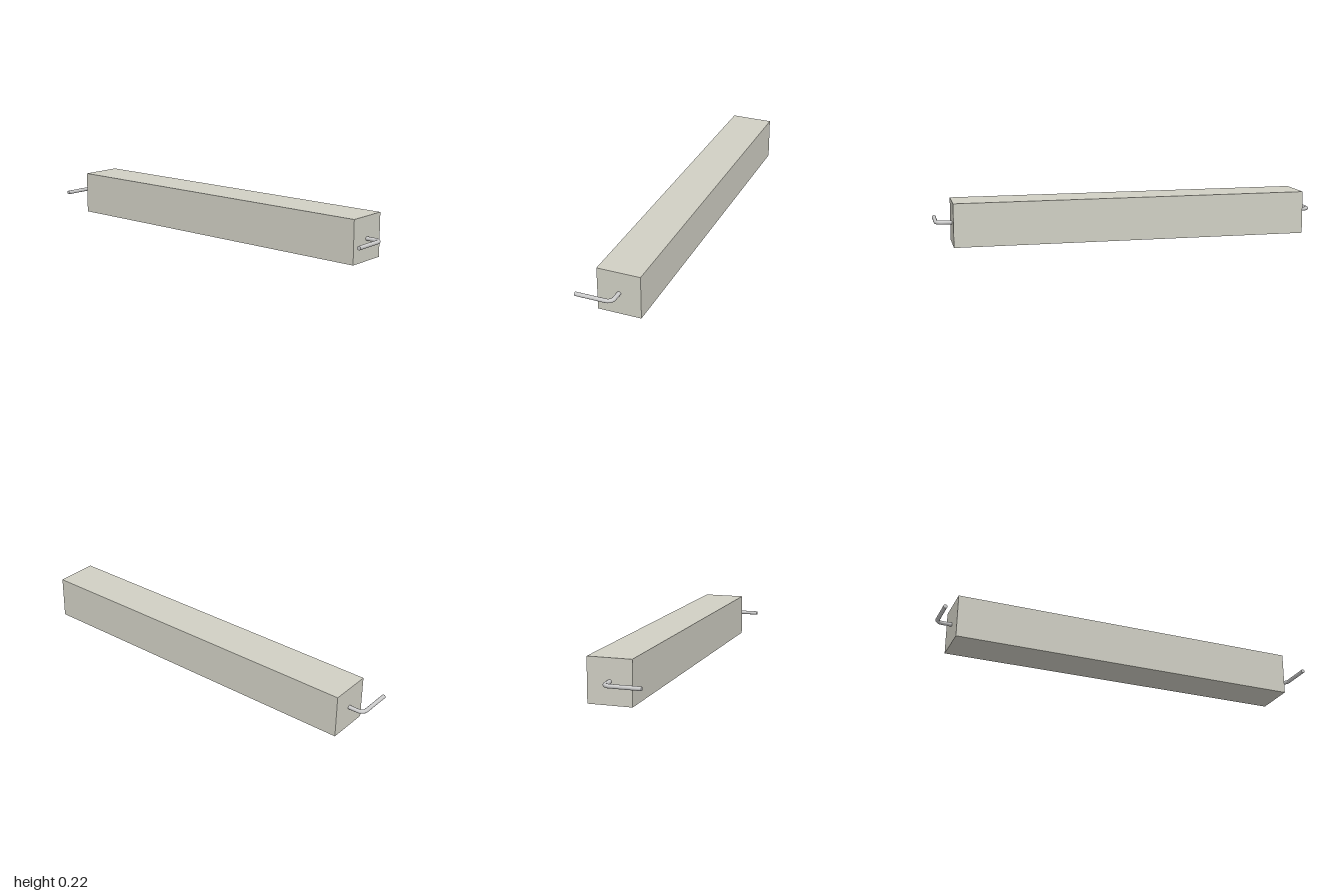
import * as THREE from 'three';

const Y = 0.11, WIRE = 0.01, BEND = 0.03;          // wire height, wire radius, bend radius
const HALF = 0.912, LEG_X = 0.99, AXIS_Z = -0.0365, TIP_Z = 0.146;

// One bent wire lead; side is +1 (left) or -1 (right)
function makeLead(side, material) {
  const lead = new THREE.Group();
  lead.name = side > 0 ? 'leftLead' : 'rightLead';
  const add = (name, geometry, x, z) => {
    const mesh = new THREE.Mesh(geometry, material);
    mesh.name = name;
    mesh.position.set(side * x, Y, z);
    lead.add(mesh);
  };
  const bendX = LEG_X - BEND, bendZ = AXIS_Z + BEND;

  // Short run out of the end of the body
  const stub = bendX - HALF + 0.01;
  add('leadStub', new THREE.CylinderGeometry(WIRE, WIRE, stub, 20).rotateZ(Math.PI / 2), bendX - stub / 2, AXIS_Z);

  // Quarter-turn bend
  const bend = new THREE.TorusGeometry(BEND, WIRE, 20, 12, Math.PI / 2);
  if (side < 0) bend.rotateZ(Math.PI / 2);
  add('leadBend', bend.rotateX(-Math.PI / 2), bendX, bendZ);

  // Straight leg towards the front
  const leg = TIP_Z - bendZ;
  add('leadLeg', new THREE.CylinderGeometry(WIRE, WIRE, leg, 20).rotateX(Math.PI / 2), LEG_X, bendZ + leg / 2);
  return lead;
}

export function createModel() {
  const model = new THREE.Group();
  model.name = 'wireLeadBlock';

  // Square-section body
  const body = new THREE.Mesh(
    new THREE.BoxGeometry(HALF * 2, 0.22, 0.219),
    new THREE.MeshStandardMaterial({ color: 0xd0cfc4 })
  );
  body.name = 'body';
  body.position.set(0, Y, AXIS_Z);
  model.add(body);

  // Mirrored pair of leads
  const wire = new THREE.MeshStandardMaterial({ color: 0xcccccc });
  for (const side of [1, -1]) model.add(makeLead(side, wire));
  return model;
}
